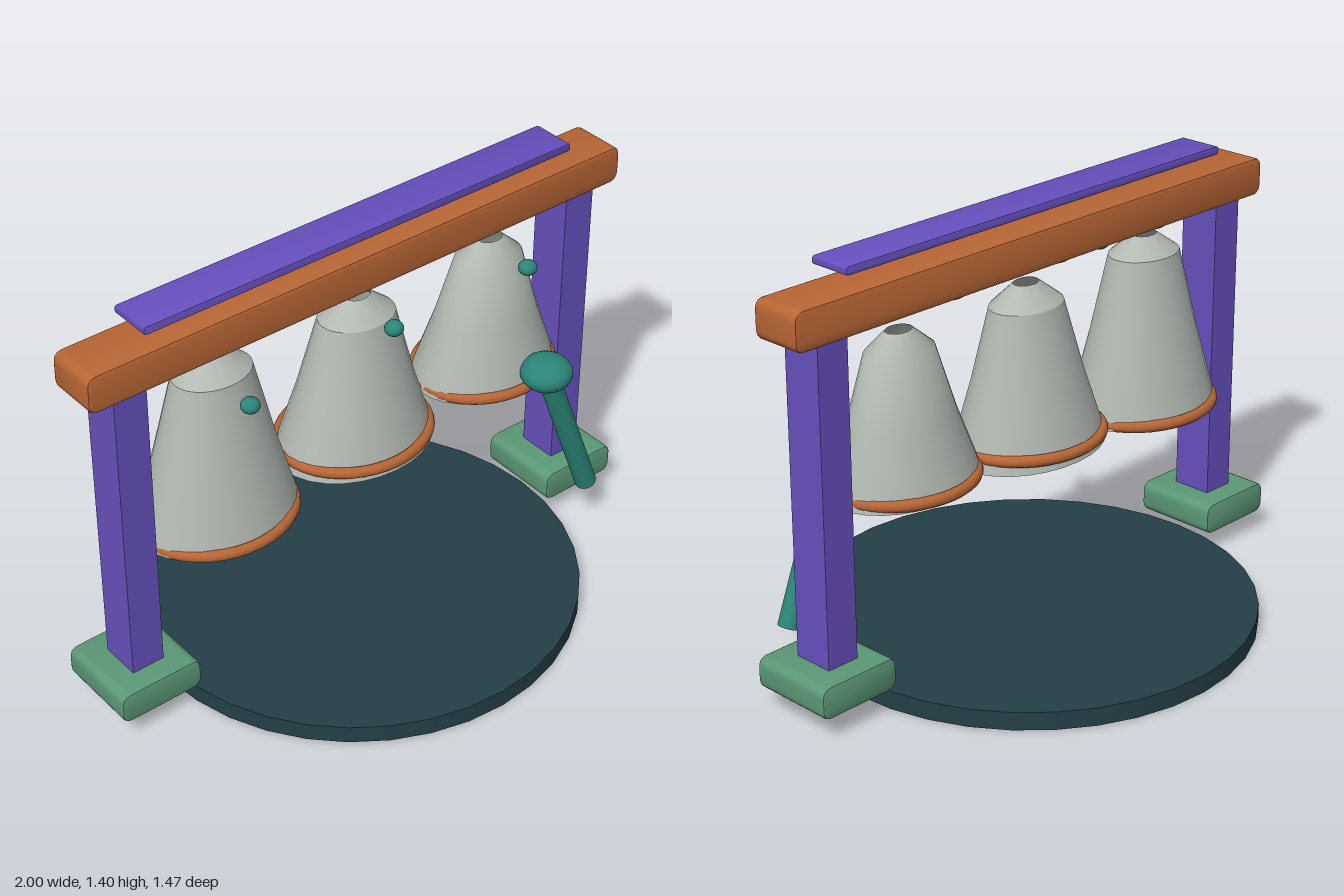
import * as THREE from 'three';
import { toCreasedNormals } from 'three/addons/utils/BufferGeometryUtils.js';

const paint = (name, color, side = THREE.FrontSide) => {
  const m = new THREE.MeshStandardMaterial({ color, side });
  m.name = name;
  return m;
};

export function createModel() {
  const orange = paint('copper orange', 0xb86635);
  const purple = paint('violet', 0x6650be);
  const green = paint('sage green', 0x5b9877);
  const teal = paint('teal', 0x2b8578);
  const slate = paint('dark slate', 0x243f47);
  const silver = paint('bell grey', 0xb2b8b2, THREE.DoubleSide);

  const model = new THREE.Group();
  model.name = 'bellStand';
  const add = (name, geometry, material, x, y, z, parent = model) => {
    const mesh = new THREE.Mesh(geometry, material);
    mesh.name = name;
    mesh.position.set(x, y, z);
    parent.add(mesh);
    return mesh;
  };

  // Bar with rounded corners in its front outline and a fine bevel
  const roundedBar = (w, h, d, r, bevel) => {
    const x = w / 2 - bevel, y = h / 2 - bevel;
    const s = new THREE.Shape();
    s.moveTo(-x + r, -y);
    s.lineTo(x - r, -y).quadraticCurveTo(x, -y, x, -y + r);
    s.lineTo(x, y - r).quadraticCurveTo(x, y, x - r, y);
    s.lineTo(-x + r, y).quadraticCurveTo(-x, y, -x, y - r);
    s.lineTo(-x, -y + r).quadraticCurveTo(-x, -y, -x + r, -y);
    const g = new THREE.ExtrudeGeometry(s, {
      depth: d - 2 * bevel, bevelThickness: bevel, bevelSize: bevel, bevelSegments: 2, curveSegments: 5,
    });
    g.translate(0, 0, -d / 2 + bevel);
    return toCreasedNormals(g, 0.6);
  };

  // Base disc
  add('baseDisc', new THREE.CylinderGeometry(0.735, 0.735, 0.06, 36), slate, 0, 0.03, 0);

  // Frame
  for (const side of [-1, 1]) {
    const label = side > 0 ? 'left' : 'right';
    add(label + 'Foot', roundedBar(0.287, 0.105, 0.29, 0.025, 0.008), green, side * 0.857, 0.128, 0);
    add(label + 'Post', new THREE.BoxGeometry(0.112, 1.04, 0.138), purple, side * 0.854, 0.69, 0);
  }
  add('crossBeam', roundedBar(2, 0.125, 0.174, 0.025, 0.009), orange, 0, 1.262, 0);
  add('topPlate', roundedBar(1.594, 0.027, 0.145, 0.008, 0.003), purple, 0, 1.388, 0);

  // Hanging rings under the beam
  for (const x of [-0.53, -0.085, 0.358]) {
    const ring = add('hangingRing', new THREE.TorusGeometry(0.06, 0.016, 10, 28), purple, x, 1.205, 0);
    ring.rotation.x = Math.PI / 2;
  }

  // Bells: open shells, flattened front to back, each with a rim band and a knob
  const bells = [
    { x: -0.53, top: 1.16, shoulder: 1.1, bottom: 0.575, rTop: 0.13, r: 0.272, band: 0.587, knob: 1.083, tilt: -0.006 },
    { x: 0, top: 1.137, shoulder: 1.07, bottom: 0.598, rTop: 0.13, r: 0.272, band: 0.638, knob: 1.12, tilt: -0.022 },
    { x: 0.53, top: 1.13, shoulder: 1.068, bottom: 0.643, rTop: 0.117, r: 0.256, band: 0.662, knob: 1.115, tilt: -0.022 },
  ];
  for (const b of bells) {
    const bell = new THREE.Group();
    bell.name = 'bell';
    bell.position.x = b.x;
    model.add(bell);

    const h = b.shoulder - b.bottom;
    const profile = [
      [b.r, 0], [b.r - 0.013, 0.05],
      [b.rTop + (b.r - b.rTop) * 0.47, h * 0.5],
      [b.rTop, h], [0.045, b.top - b.bottom],
    ].map(([r, y]) => new THREE.Vector2(r, y));
    const shellGeometry = toCreasedNormals(new THREE.LatheGeometry(profile, 28), 0.6);
    const shell = add('bellShell', shellGeometry, silver, 0, b.bottom, 0, bell);
    shell.scale.z = 0.77;
    shell.rotation.z = b.tilt;

    const band = add('bellRim', new THREE.TorusGeometry(b.r - 0.023, 0.019, 10, 40), orange, 0, b.band, 0, bell);
    band.rotation.x = Math.PI / 2;
    band.scale.y = 0.86;

    const knob = add('bellKnob', new THREE.SphereGeometry(0.03, 16, 12), teal, 0, b.knob, 0.19, bell);
    knob.scale.y = 0.82;
  }

  // Mallet leaning in front of one post
  const mallet = new THREE.Group();
  mallet.name = 'mallet';
  mallet.position.set(0.595, 0.715, 0.232);
  model.add(mallet);
  const head = add('malletHead', new THREE.SphereGeometry(0.085, 24, 16), teal, 0, 0, 0, mallet);
  head.scale.y = 0.67;
  const handle = add('malletHandle', new THREE.CylinderGeometry(0.036, 0.036, 0.58, 20), teal, 0.105, -0.27, 0, mallet);
  handle.rotation.z = 0.371;

  return model;
}
